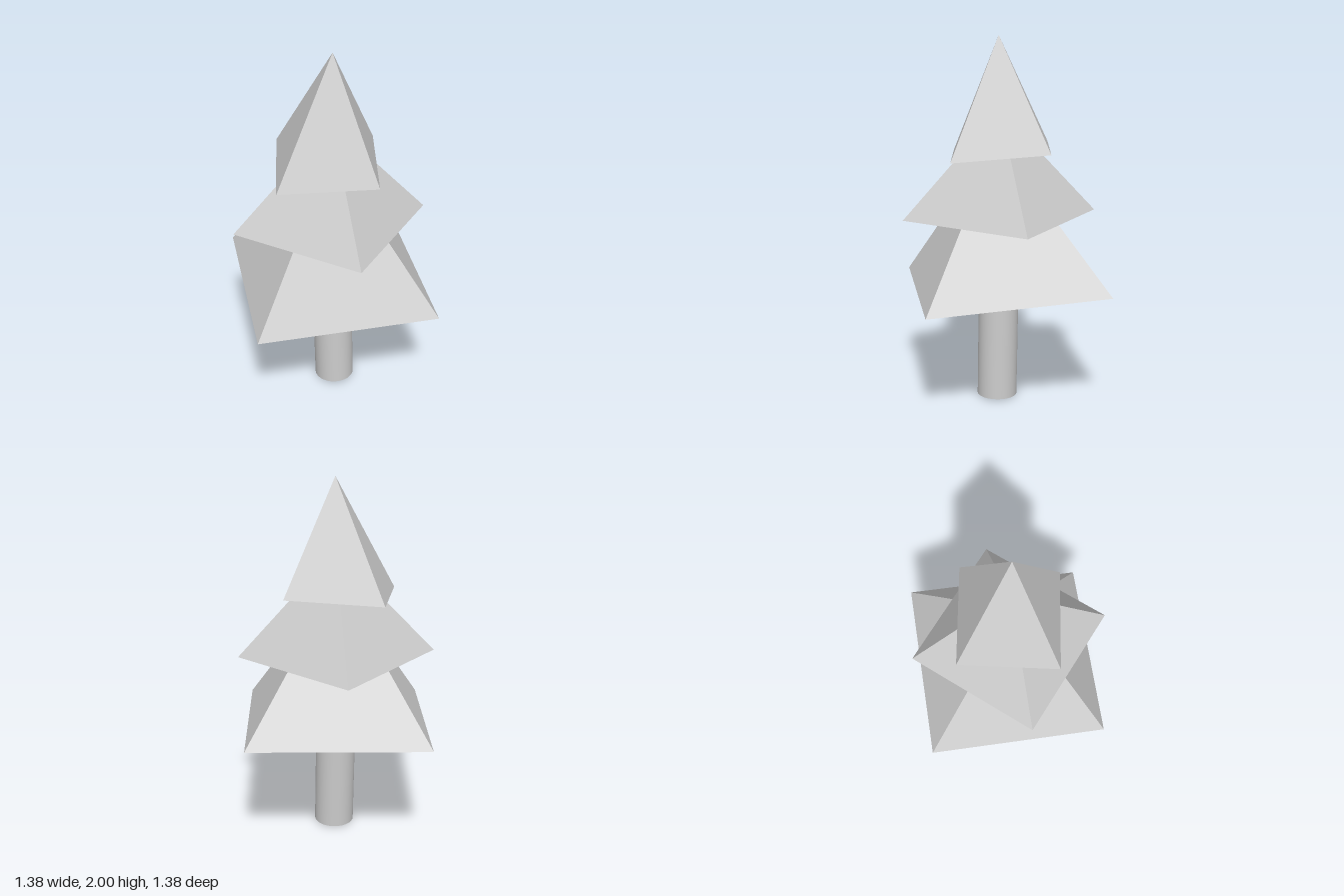
import * as THREE from 'three';

const foliageMaterial = new THREE.MeshStandardMaterial({ color: 0xcccccc, flatShading: true });
const trunkMaterial = new THREE.MeshStandardMaterial({ color: 0xcccccc });

// Closed four-sided pyramid; corners run front, right, back, left
function pyramid(name, apex, corners) {
  const points = [];
  corners.forEach((corner, i) => {
    points.push(...corner, ...corners[(i + 1) % 4], ...apex);
  });
  const [front, right, back, left] = corners;
  points.push(...front, ...back, ...right, ...front, ...left, ...back);

  const geometry = new THREE.BufferGeometry();
  geometry.setAttribute('position', new THREE.Float32BufferAttribute(points, 3));
  geometry.computeVertexNormals();
  const mesh = new THREE.Mesh(geometry, foliageMaterial);
  mesh.name = name;
  return mesh;
}

export function createModel() {
  const tree = new THREE.Group();
  tree.name = 'tree';

  // Slightly leaning round trunk, its top hidden in the lowest tier
  const height = 0.75;
  const trunk = new THREE.Mesh(new THREE.CylinderGeometry(0.11, 0.11, height, 32), trunkMaterial);
  trunk.name = 'trunk';
  trunk.position.set(0.031, height / 2 + 0.002, 0.02);
  trunk.rotation.z = 0.027;
  tree.add(trunk);

  // Three uneven tiers of foliage
  tree.add(
    pyramid('lowerFoliage', [0.026, 1.44, 0.035], [
      [0.015, 0.615, 0.69], [0.69, 0.625, -0.02], [-0.015, 0.68, -0.69], [-0.69, 0.67, 0.015],
    ]),
    pyramid('middleFoliage', [0.02, 1.61, 0.014], [
      [-0.33, 1.03, 0.43], [0.43, 1.03, 0.355], [0.35, 1.03, -0.405], [-0.405, 1.03, -0.325],
    ]),
    pyramid('upperFoliage', [0.025, 2, 0.017], [
      [-0.06, 1.343, 0.397], [0.36, 1.36, 0.08], [0.05, 1.403, -0.34], [-0.375, 1.39, -0.027],
    ]),
  );

  return tree;
}
